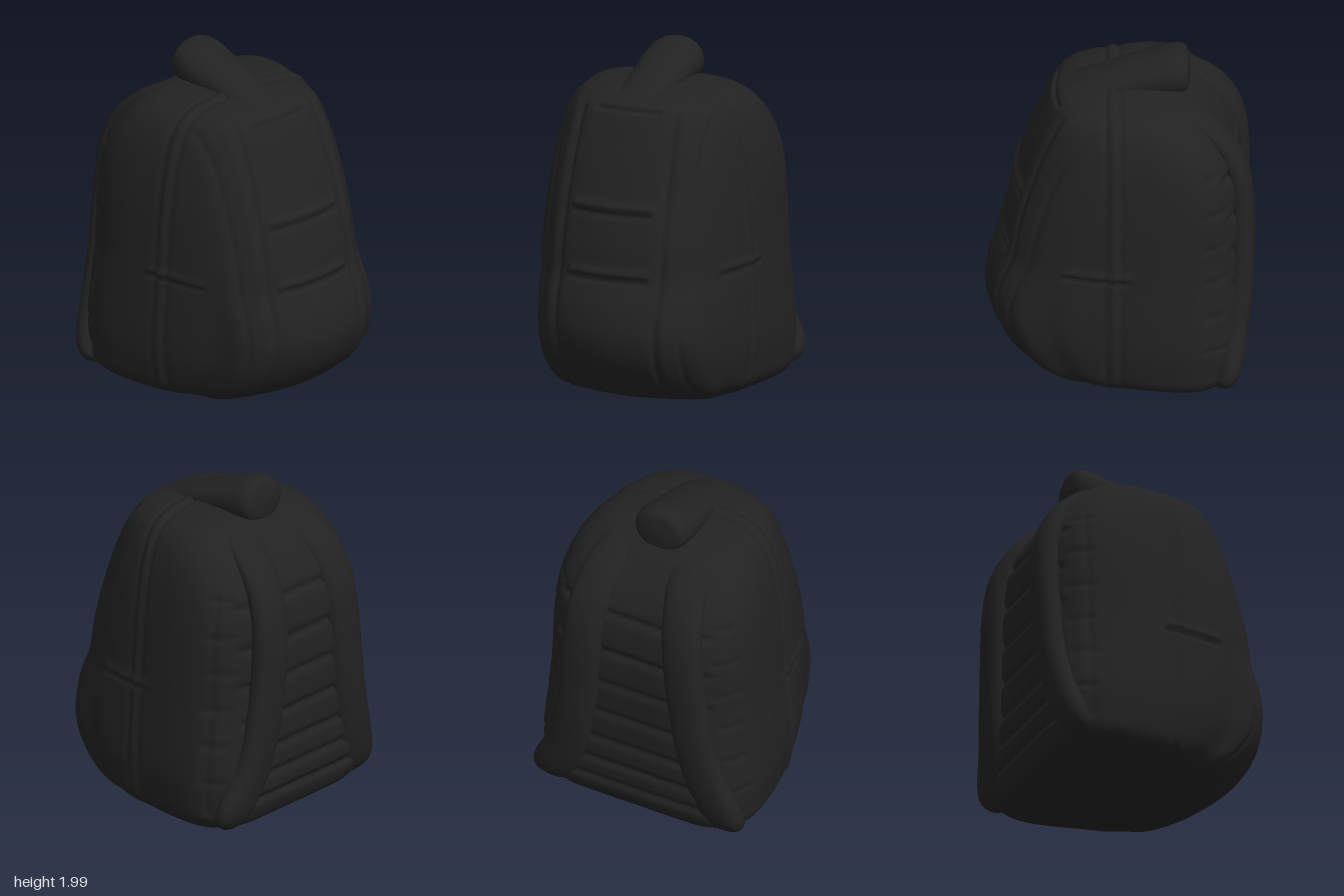
import * as THREE from 'three';

const V = (x, y, z) => new THREE.Vector3(x, y, z);
const { lerp, smoothstep } = THREE.MathUtils;
const bump = (d, width) => Math.exp(-(d * d) / (width * width));
const between = (v, a, b, soft = 0.02) =>
  smoothstep(v, a - soft, a + soft) * (1 - smoothstep(v, b - soft, b + soft));

// Skin a stack of closed rings; each ring runs anticlockwise seen from the far end
function skin(rings) {
  const n = rings[0].length, pos = [], index = [];
  rings.forEach(ring => ring.forEach(p => pos.push(p.x, p.y, p.z)));
  for (let j = 0; j < rings.length - 1; j++) {
    for (let i = 0; i < n; i++) {
      const k = (i + 1) % n, a = j * n + i, b = j * n + k;
      index.push(a, b, b + n, a, b + n, a + n);
    }
  }
  const geo = new THREE.BufferGeometry();
  geo.setAttribute('position', new THREE.Float32BufferAttribute(pos, 3));
  geo.setIndex(index);
  geo.computeVertexNormals();
  return geo;
}

// Soft padded band along a path; sizes give half width and half thickness at each point
function paddedBand(points, sizes, squareness, steps = 70, sides = 36) {
  const path = new THREE.CatmullRomCurve3(points, false, 'catmullrom');
  const size = new THREE.CatmullRomCurve3(sizes.map(s => V(s[0], s[1], 0)), false, 'catmullrom');
  const rings = [];
  for (let j = 0; j <= steps; j++) {
    const t = j / steps, c = path.getPoint(t), T = path.getTangent(t), s = size.getPoint(t);
    const A = V(1, 0, 0).addScaledVector(T, -T.x).normalize();
    const B = T.clone().cross(A);
    const round = Math.sqrt(Math.max(0, 1 - Math.pow(Math.abs(2 * t - 1), 16)));
    const ring = [];
    for (let i = 0; i < sides; i++) {
      const a = i / sides * Math.PI * 2, cs = Math.cos(a), sn = Math.sin(a);
      const u = Math.sign(cs) * Math.pow(Math.abs(cs), squareness) * s.x * round;
      const v = Math.sign(sn) * Math.pow(Math.abs(sn), squareness) * s.y * round;
      ring.push(c.clone().addScaledVector(A, u).addScaledVector(B, v));
    }
    rings.push(ring);
  }
  return skin(rings);
}

// Height of the surface above the smooth bag: seams, piping, folds and quilting
function relief(x, y, z, n) {
  const ax = Math.abs(x);
  let d = 0;
  const side = between(Math.abs(n.z), -1, 0.6) * between(y, 0.1, 3);
  d -= side * 0.011 * (bump(z, 0.016) + bump(z - 0.08, 0.016));
  d += side * 0.008 * bump(z - 0.04, 0.03);
  if (n.z > 0) {
    // Vertical seams beside the centre panel and around the front pocket
    const front = between(n.z, 0.25, 2, 0.1) * between(y, 0.12, 1.74, 0.05);
    const lean = 0.3 + 0.02 * Math.sin(y * 2);
    d -= front * 0.014 * bump(ax - lean, 0.018);
    d += front * 0.008 * bump(ax - lean - 0.05, 0.03);
    d -= front * 0.01 * bump(ax - 0.45, 0.016);
    // Zip flaps across the centre panel
    const panel = front * between(ax, -1, 0.25);
    for (const h of [0.8, 1.17]) d += panel * (0.02 * bump(y - h - 0.03, 0.025) - 0.022 * bump(y - h, 0.014));
    d -= between(n.z, 0.3, 2, 0.1) * between(ax, -1, 0.2) * 0.02 * bump(y - 1.735, 0.014);
  }
  // Side pocket hems
  const hem = side * between(z, -0.05, 0.33);
  d += hem * (0.014 * bump(y - 0.83, 0.022) - 0.016 * bump(y - 0.8, 0.013));
  // Gathered folds on the rear sides
  for (let h = 0.35; h < 1.5; h += 0.22) {
    d -= between(Math.abs(n.x), 0.5, 2, 0.1) * between(z, -0.62, -0.48) * 0.01 * bump(y - h, 0.016);
  }
  if (z < 0) {
    d -= side * between(y, 0.15, 1.5) * 0.009 * bump(z + 0.52, 0.018);
    // Quilted back padding
    const back = between(n.z, -2, -0.6, 0.1) * between(ax, -1, 0.5, 0.04);
    for (const h of [0.2, 0.34, 0.5, 0.7, 0.92, 1.15, 1.4]) d -= back * 0.022 * bump(y - h, 0.022);
  }
  return d;
}

// Closed plan outline from one half: share of half width, share of depth (0 back, 1 front)
function planOutline(side) {
  const half = [[0, 1], ...side, [0, 0]];
  const mirrored = side.slice().reverse().map(([u, v]) => [-u, v]);
  const outline = new THREE.CatmullRomCurve3([...half, ...mirrored].map(([u, v]) => V(u, v, 0)), true);
  outline.arcLengthDivisions = 1200;
  return outline.getSpacedPoints(320).slice(0, 320);
}

function bodyGeometry() {
  const lower = planOutline([[0.24, 0.985], [0.43, 0.955], [0.61, 0.912], [0.73, 0.855], [0.79, 0.755], [0.87, 0.67], [0.955, 0.48],
    [1, 0.31], [1, 0.2], [0.96, 0.12], [0.87, 0.055], [0.7, 0.01], [0.4, 0]]);
  const upper = planOutline([[0.24, 0.99], [0.45, 0.965], [0.66, 0.9], [0.78, 0.82], [0.86, 0.72], [0.92, 0.6], [0.97, 0.46],
    [1, 0.33], [0.98, 0.21], [0.91, 0.125], [0.79, 0.065], [0.6, 0.02], [0.36, 0]]);
  // Rows up the bag: y, half width, front z, back z
  const rows = [[0.02, 0, -0.1, -0.1], [0.015, 0.3, 0.1, -0.33], [0.02, 0.52, 0.28, -0.54], [0.05, 0.62, 0.43, -0.62],
    [0.11, 0.67, 0.55, -0.66], [0.2, 0.685, 0.655, -0.68], [0.33, 0.695, 0.74, -0.69], [0.48, 0.69, 0.775, -0.695],
    [0.64, 0.68, 0.745, -0.7], [0.8, 0.67, 0.68, -0.705], [0.98, 0.66, 0.65, -0.71], [1.16, 0.65, 0.605, -0.705],
    [1.32, 0.635, 0.555, -0.69], [1.46, 0.612, 0.505, -0.65], [1.58, 0.578, 0.455, -0.58], [1.68, 0.53, 0.41, -0.5],
    [1.75, 0.465, 0.365, -0.425], [1.79, 0.38, 0.28, -0.35], [1.815, 0.22, 0.13, -0.22], [1.825, 0, -0.04, -0.04]];
  const widths = new THREE.CatmullRomCurve3(rows.map(r => V(r[1], r[0], 0)), false, 'catmullrom');
  const depths = new THREE.CatmullRomCurve3(rows.map(r => V(r[2], r[0], r[3])), false, 'catmullrom');
  const rings = [], steps = 171;
  for (let j = 0; j <= steps; j++) {
    const w = widths.getPoint(j / steps), d = depths.getPoint(j / steps);
    const rise = smoothstep(w.y, 0.35, 0.95);
    rings.push(lower.map((p, i) => {
      const q = p.clone().lerp(upper[i], rise);
      // The soft front sags slightly to one side
      const sag = 0.03 * smoothstep(q.y, 0.5, 0.8) * (1 - rise);
      return V(q.x * w.x + sag * Math.min(1, w.x / 0.6), w.y, lerp(d.z, d.x, q.y));
    }));
  }
  const geo = skin(rings), pos = geo.attributes.position, nor = geo.attributes.normal;
  for (let i = 0; i < pos.count; i++) {
    const p = V(0, 0, 0).fromBufferAttribute(pos, i), n = V(0, 0, 0).fromBufferAttribute(nor, i);
    p.addScaledVector(n, relief(p.x, p.y, p.z, n));
    pos.setXYZ(i, p.x, p.y, p.z);
  }
  geo.computeVertexNormals();
  return geo;
}

export function createModel() {
  const model = new THREE.Group();
  model.name = 'backpack';
  const fabric = new THREE.MeshStandardMaterial({ color: 0x222222 });
  fabric.name = 'black fabric';
  const add = (name, geo) => {
    const mesh = new THREE.Mesh(geo, fabric);
    mesh.name = name;
    model.add(mesh);
  };

  add('bag', bodyGeometry());

  // Shoulder straps, flaring out to the lower back corners; the left one hangs further in
  const strapSize = [[0.1, 0.04], [0.12, 0.05], [0.125, 0.06], [0.125, 0.07], [0.125, 0.075],
    [0.125, 0.075], [0.125, 0.075], [0.13, 0.075], [0.13, 0.075], [0.1, 0.06]];
  const leftPath = [[0.19, 1.76, -0.28], [0.23, 1.7, -0.42], [0.27, 1.56, -0.58], [0.295, 1.38, -0.67], [0.31, 1.16, -0.7],
    [0.33, 0.9, -0.7], [0.37, 0.62, -0.69], [0.44, 0.36, -0.66], [0.54, 0.17, -0.62], [0.61, 0.075, -0.56]];
  const rightPath = [[-0.19, 1.76, -0.28], [-0.24, 1.7, -0.42], [-0.29, 1.56, -0.57], [-0.32, 1.38, -0.65], [-0.345, 1.16, -0.675],
    [-0.375, 0.9, -0.675], [-0.42, 0.62, -0.665], [-0.49, 0.36, -0.635], [-0.56, 0.17, -0.59], [-0.615, 0.06, -0.52]];
  add('leftStrap', paddedBand(leftPath.map(p => V(...p)), strapSize, 0.85));
  add('rightStrap', paddedBand(rightPath.map(p => V(...p)), strapSize, 0.85));

  // Grab handle rising towards the back
  add('handle', paddedBand(
    [V(0, 1.74, 0.33), V(0, 1.785, 0.16), V(0, 1.815, -0.02), V(-0.01, 1.845, -0.2), V(-0.01, 1.865, -0.32), V(-0.01, 1.87, -0.41)],
    [[0.12, 0.03], [0.14, 0.055], [0.155, 0.09], [0.17, 0.12], [0.17, 0.135], [0.15, 0.125]], 0.95, 50));

  return model;
}
